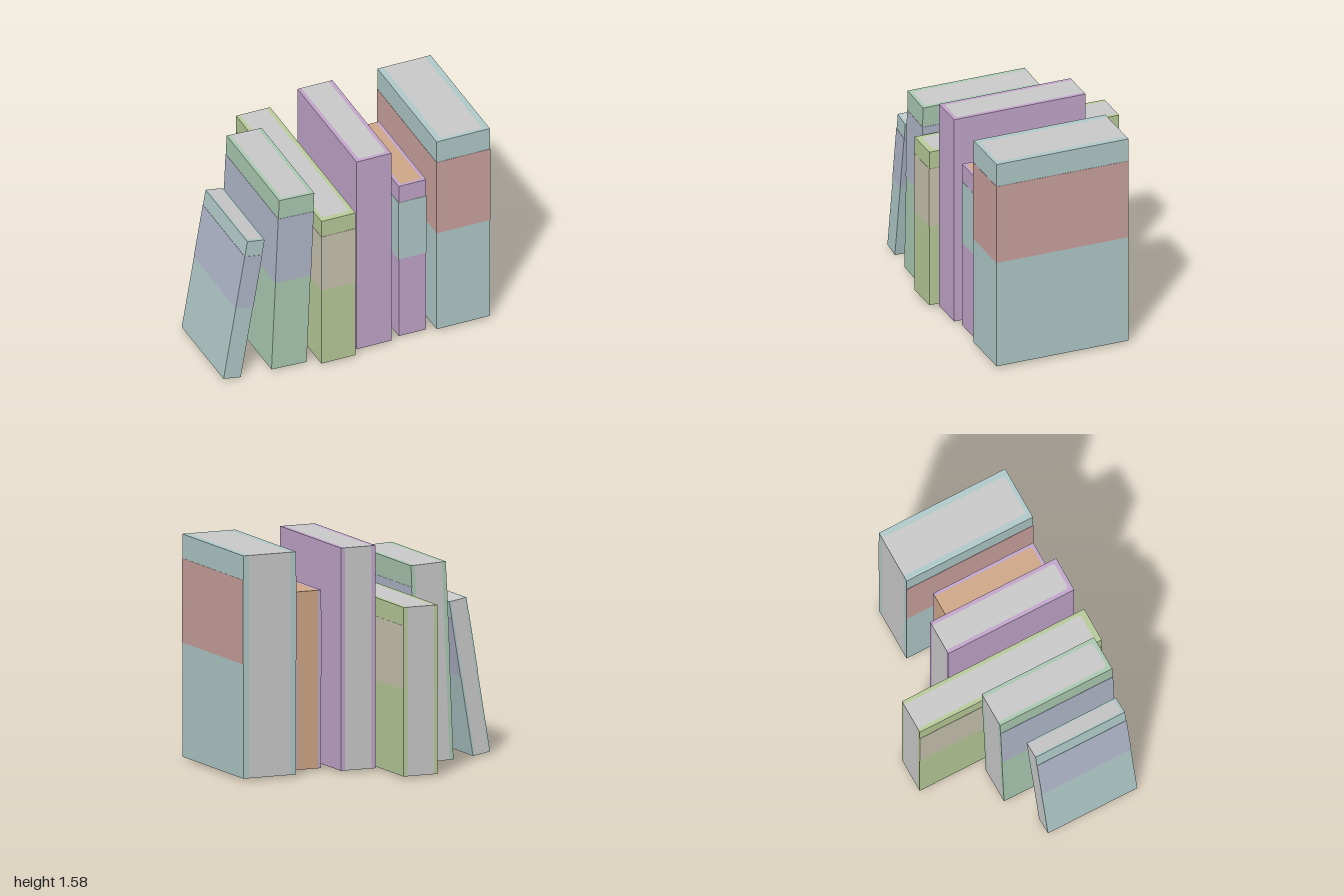
import * as THREE from 'three';

const mat = (name, color) => {
  const m = new THREE.MeshStandardMaterial({ color });
  m.name = name;
  return m;
};

// Extrudes a footprint (shape y = towards the back) upwards from y0 to y1
function upright(name, shape, y0, y1, material) {
  const g = new THREE.ExtrudeGeometry(shape, { depth: y1 - y0, bevelEnabled: false, curveSegments: 4 });
  g.rotateX(-Math.PI / 2);
  g.translate(0, y0, 0);
  const mesh = new THREE.Mesh(g, material);
  mesh.name = name;
  return mesh;
}

// One book: spine at the front, page edges flush at top, bottom and back
function book({ name, x, y, w, h, z, tilt = 0, cover, pages, band }) {
  const group = new THREE.Group();
  group.name = name;
  const d = z[1] - z[0];
  const board = 0.11 * w, spine = 0.03 * d, r = 0.025;
  const front = -d / 2, back = d / 2, inner = front + spine;

  // Page block, rounded where it meets the spine
  const block = new THREE.Shape();
  block.moveTo(board, back);
  block.lineTo(board, inner + r);
  block.quadraticCurveTo(board, inner, board + r, inner);
  block.lineTo(w - board - r, inner);
  block.quadraticCurveTo(w - board, inner, w - board, inner + r);
  block.lineTo(w - board, back);
  group.add(upright('pages', block, 0, h, pages));

  // Cover: two boards and a spine wrapped round the page block
  const wrap = new THREE.Shape();
  wrap.moveTo(board, back);
  wrap.lineTo(0, back);
  wrap.lineTo(0, front);
  wrap.lineTo(w, front);
  wrap.lineTo(w, back);
  wrap.lineTo(w - board, back);
  wrap.lineTo(w - board, inner + r);
  wrap.quadraticCurveTo(w - board, inner, w - board - r, inner);
  wrap.lineTo(board + r, inner);
  wrap.quadraticCurveTo(board, inner, board, inner + r);
  group.add(upright('cover', wrap, 0, h, cover));

  // Painted band round the outside of the cover
  if (band) {
    const e = 0.002;
    const strip = new THREE.Shape([
      [0, back], [-e, back], [-e, front - e], [w + e, front - e],
      [w + e, back], [w, back], [w, front], [0, front],
    ].map(([a, b]) => new THREE.Vector2(a, b)));
    group.add(upright('band', strip, 0.513 * h, 0.891 * h, band));
  }

  group.position.set(x, y, (z[0] + z[1]) / 2);
  group.rotation.z = -THREE.MathUtils.degToRad(tilt);
  return group;
}

export function createModel() {
  const paper = mat('paper grey', 0xcacaca);
  const tanPaper = mat('tan paper', 0xcfa788);
  const teal = mat('pale teal', 0xb0cac9);
  const red = mat('dusty red', 0xcba39f);
  const purple = mat('lilac', 0xc3a6cc);
  const green = mat('pale green', 0xaccbb4);
  const blue = mat('periwinkle', 0xb3b9cc);
  const olive = mat('olive green', 0xb9cc99);
  const sand = mat('sand', 0xcac6b0);

  const books = [
    { name: 'leaningThinBook', x: -1, y: 0.025, w: 0.132, h: 1.108, z: [-0.085, 0.615], tilt: 9.4, cover: teal, pages: paper, band: blue },
    { name: 'leaningGreenBook', x: -0.648, y: 0.021, w: 0.266, h: 1.391, z: [-0.24, 0.64], tilt: 2.4, cover: green, pages: paper, band: blue },
    { name: 'deepOliveBook', x: -0.303, y: 0.018, w: 0.258, h: 1.184, z: [-0.715, 0.713], cover: olive, pages: paper, band: sand },
    { name: 'tallPurpleBook', x: -0.01, y: 0.02, w: 0.263, h: 1.56, z: [-0.333, 0.655], cover: purple, pages: paper },
    { name: 'smallPurpleBook', x: 0.323, y: 0.018, w: 0.207, h: 1.247, z: [-0.16, 0.625], cover: purple, pages: tanPaper, band: teal },
    { name: 'thickTealBook', x: 0.595, y: 0.02, w: 0.403, h: 1.56, z: [-0.333, 0.658], cover: teal, pages: paper, band: red },
  ];

  const model = new THREE.Group();
  model.name = 'bookRow';
  books.forEach((b) => model.add(book(b)));
  return model;
}
